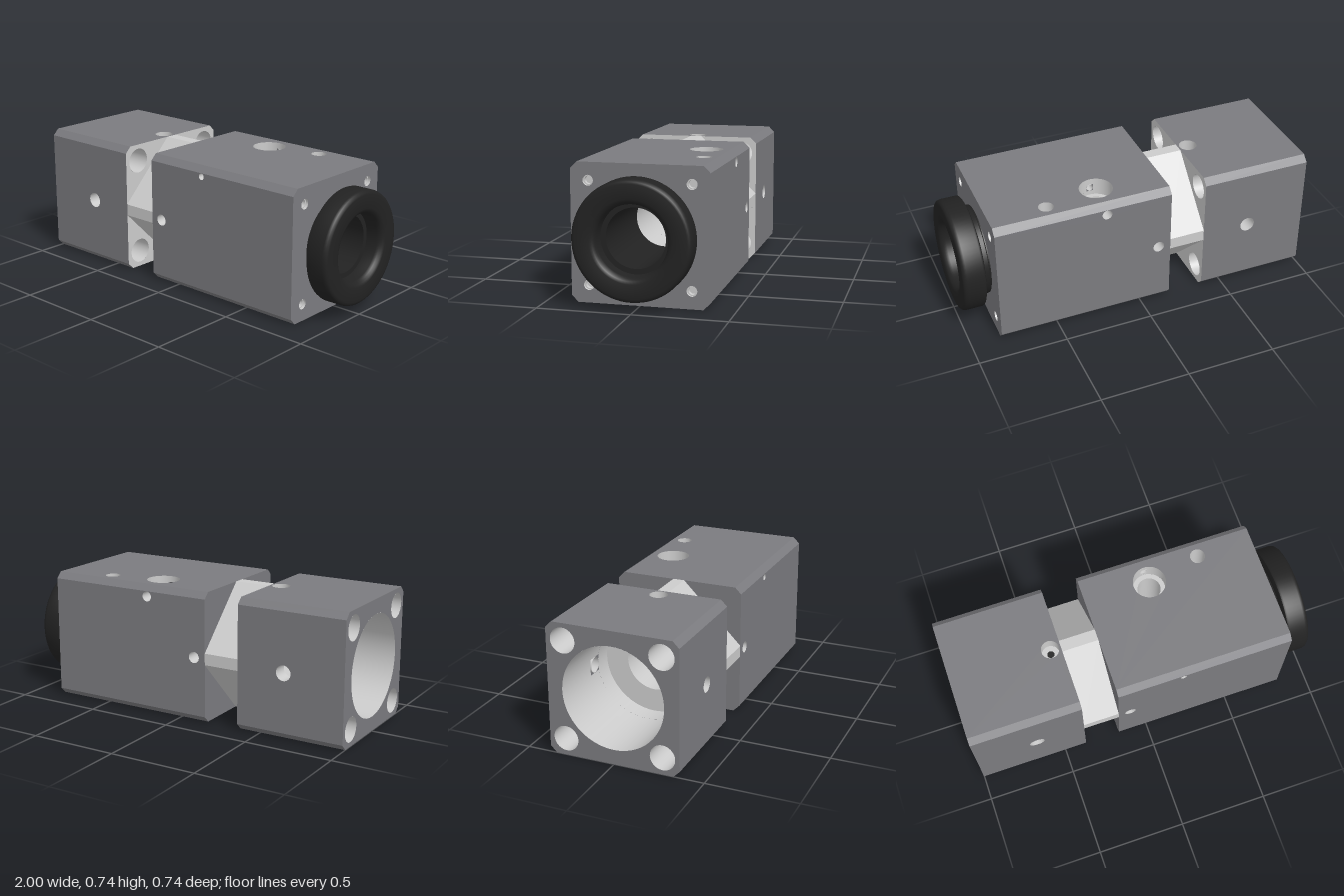
import * as THREE from 'three';
import { toCreasedNormals } from 'three/addons/utils/BufferGeometryUtils.js';

const H = 0.3675, C = 0.035, PI = Math.PI;
const paint = (color) => new THREE.MeshStandardMaterial({ color, side: THREE.DoubleSide });

export function createModel() {
  const root = new THREE.Group();
  root.name = 'cameraHousing';
  const body = paint(0x7b7b7f), bare = paint(0xcccccc), black = paint(0x222222);

  const add = (parent, geo, mat, name) => {
    const m = new THREE.Mesh(geo, mat);
    m.name = name;
    parent.add(m);
    return m;
  };
  const group = (name) => {
    const g = new THREE.Group();
    g.name = name;
    g.position.y = H;
    root.add(g);
    return g;
  };
  const punch = (shape, holes) => {
    for (const [u, v, r] of holes) shape.holes.push(new THREE.Path().absarc(u, v, r, 0, 2 * PI, true));
    return shape;
  };
  // square with cut corners
  const octagon = (c, holes = []) => {
    const k = H - c;
    return punch(new THREE.Shape([[H, -k], [H, k], [k, H], [-k, H], [-H, k], [-H, -k], [-k, -H], [k, -H]]
      .map((p) => new THREE.Vector2(...p))), holes);
  };
  const corners = (r) => [[1, 1], [1, -1], [-1, 1], [-1, -1]].map(([u, v]) => [u * 0.273, v * 0.273, r]);

  // open hole wall from a to b along an axis, passing through (p, q) of the other two;
  // gap = { lo, hi, half, at } leaves openings where another hole crosses
  const bore = (parent, axis, p, q, r, a, b, gap, mat = bare) => {
    const g = new THREE.Group();
    g.name = 'holeWall';
    parent.add(g);
    const band = (lo, hi, start, len) => {
      const geo = new THREE.CylinderGeometry(r, r, hi - lo, 48, 1, true, start, len);
      geo.translate(0, (lo + hi) / 2, 0);
      if (axis === 'x') geo.rotateZ(-PI / 2).translate(0, p, q);
      if (axis === 'y') geo.translate(p, 0, q);
      if (axis === 'z') geo.rotateX(PI / 2).translate(p, q, 0);
      add(g, geo, mat, 'wall');
    };
    if (!gap) return band(a, b, 0, 2 * PI);
    band(a, gap.lo, 0, 2 * PI);
    band(gap.hi, b, 0, 2 * PI);
    const step = 2 * PI / gap.at.length;
    for (const t of gap.at) band(gap.lo, gap.hi, t + gap.half, step - 2 * gap.half);
  };
  // flat floor of a hole, optionally a ring
  const floor = (parent, axis, x, y, z, r, mat = bare, inner = 0) => {
    const geo = inner ? new THREE.RingGeometry(inner, r, 40) : new THREE.CircleGeometry(r, 40);
    if (axis === 'x') geo.rotateY(PI / 2);
    if (axis === 'y') geo.rotateX(-PI / 2);
    add(parent, geo.translate(x, y, z), mat, 'holeFloor');
  };

  // four long sides (front, top, back, bottom) and the chamfers between them
  const sides = (parent, a, b, holes) => {
    const k = H - C;
    ['frontSide', 'topSide', 'backSide', 'bottomSide'].forEach((name, i) => {
      const s = new THREE.Shape([[a, -k], [b, -k], [b, k], [a, k]].map((p) => new THREE.Vector2(...p)));
      const geo = new THREE.ShapeGeometry(punch(s, holes[i]), 24);
      add(parent, geo.translate(0, 0, H).rotateX(-i * PI / 2), body, name);
      const edge = new THREE.PlaneGeometry(b - a, C * Math.SQRT2);
      edge.translate((a + b) / 2, 0, (H - C / 2) * Math.SQRT2).rotateX(-(i + 0.5) * PI / 2);
      add(parent, edge, body, 'chamfer');
    });
  };
  const cap = (parent, x, dir, holes, mat, name) =>
    add(parent, new THREE.ShapeGeometry(octagon(C, holes), 32).rotateY(dir * PI / 2).translate(x, 0, 0), mat, name);

  // mount block with a wide bore
  const mount = group('mountBlock');
  const R = 0.285, core = 0.157;
  sides(mount, -1, -0.375, [[[-0.65, 0, 0.043]], [[-0.435, 0, 0.05]], [[-0.65, 0, 0.043]], []]);
  cap(mount, -1, -1, [[0, 0, R], ...corners(0.07)], body, 'mountEnd');
  cap(mount, -0.375, 1, [[0, 0, core], ...corners(0.07)], bare, 'mountShoulder');
  for (const [y, z] of corners(0)) bore(mount, 'x', y, z, 0.07, -1, -0.375);
  bore(mount, 'x', 0, 0, R, -1, -0.5, { lo: -0.695, hi: -0.605, half: 0.158, at: [0, PI] });
  floor(mount, 'x', -0.5, 0, 0, R, bare, core);
  bore(mount, 'x', 0, 0, core, -0.5, -0.375);
  bore(mount, 'z', -0.65, 0, 0.043, 0.28, H);
  bore(mount, 'z', -0.65, 0, 0.043, -H, -0.28);
  bore(mount, 'y', -0.435, 0, 0.05, H - 0.08, H);
  floor(mount, 'y', -0.435, H - 0.08, 0, 0.05, bare, 0.02);
  floor(mount, 'y', -0.435, H - 0.085, 0, 0.021, black);

  // diamond-shaped neck between the blocks
  const neck = group('neck');
  const neckGeo = new THREE.ExtrudeGeometry(octagon(0.335, [[0, 0, core]]),
    { depth: 0.205, bevelEnabled: false, curveSegments: 32 });
  add(neck, neckGeo.rotateY(PI / 2).translate(-0.375, 0, 0), bare, 'diamondNeck');

  // main block
  const main = group('mainBlock');
  const pinY = 0.313, backY = 0.303;
  sides(main, -0.17, 0.83, [
    [[-0.1, 0, 0.032], [0.205, pinY, 0.018]],
    [[0.205, 0.2, 0.092], [0.51, 0.26, 0.042]],
    [[-0.1, 0, 0.032], [0.205, -backY, 0.028]],
    [[0.205, -0.2, 0.065], [0.51, -0.26, 0.042]],
  ]);
  cap(main, -0.17, -1, [[0, 0, core]], body, 'mainShoulder');
  cap(main, 0.83, 1, [[0, 0, 0.25], ...corners(0.028)], body, 'mainEnd');
  for (const [y, z] of corners(0)) {
    bore(main, 'x', y, z, 0.028, 0.815, 0.83);
    floor(main, 'x', 0.815, y, z, 0.028, bare, 0.022);
    bore(main, 'x', y, z, 0.022, 0.79, 0.815);
    floor(main, 'x', 0.79, y, z, 0.022);
  }
  bore(main, 'x', 0, 0, core, -0.17, 0.35, { lo: 0.14, hi: 0.27, half: 0.55, at: [PI] });
  for (const s of [1, -1]) {
    // blind side holes
    bore(main, 'z', -0.1, 0, 0.032, s > 0 ? H - 0.1 : -H, s > 0 ? H : 0.1 - H);
    floor(main, 'z', -0.1, 0, s * (H - 0.1), 0.032);
    // vertical screw holes reaching the barrel
    bore(main, 'y', 0.51, -0.26, 0.042, s > 0 ? 0.13 : -H, s > 0 ? H : -0.13);
  }
  // counterbored vertical hole, crossed by a thin pin hole
  const top = H - 0.1;
  bore(main, 'y', 0.205, -0.2, 0.092, top, H, { lo: pinY - 0.02, hi: pinY + 0.02, half: 0.21, at: [0, PI] });
  floor(main, 'y', 0.205, top, -0.2, 0.092, bare, 0.065);
  bore(main, 'y', 0.205, -0.2, 0.065, -H, top, { lo: -0.085, hi: 0.085, half: 0.86, at: [0] });
  bore(main, 'z', 0.205, pinY, 0.018, -0.11, H);
  bore(main, 'z', 0.205, backY, 0.028, -H, -0.29);

  // dark barrel with a rounded grip ring
  const lens = group('lensBarrel');
  const profile = [[core, 0.35], [0.3, 0.35], [0.3, 0.8], [0.247, 0.8], [0.247, 0.835], [0.252, 0.84],
    [0.252, 0.862], [0.243, 0.873], [0.3, 0.873], [0.309, 0.877], [0.3125, 0.886], [0.3125, 0.975],
    [0.309, 0.989], [0.301, 0.997], [0.29, 1], [0.215, 1], [0.2, 0.994], [0.19, 0.982], [0.185, 0.965],
    [0.185, 0.9], [core, 0.9], [core, 0.35]].map(([r, x]) => new THREE.Vector2(r, x));
  const barrel = toCreasedNormals(new THREE.LatheGeometry(profile, 72).rotateZ(-PI / 2), 0.6);
  add(lens, barrel, black, 'gripRing');
  return root;
}
